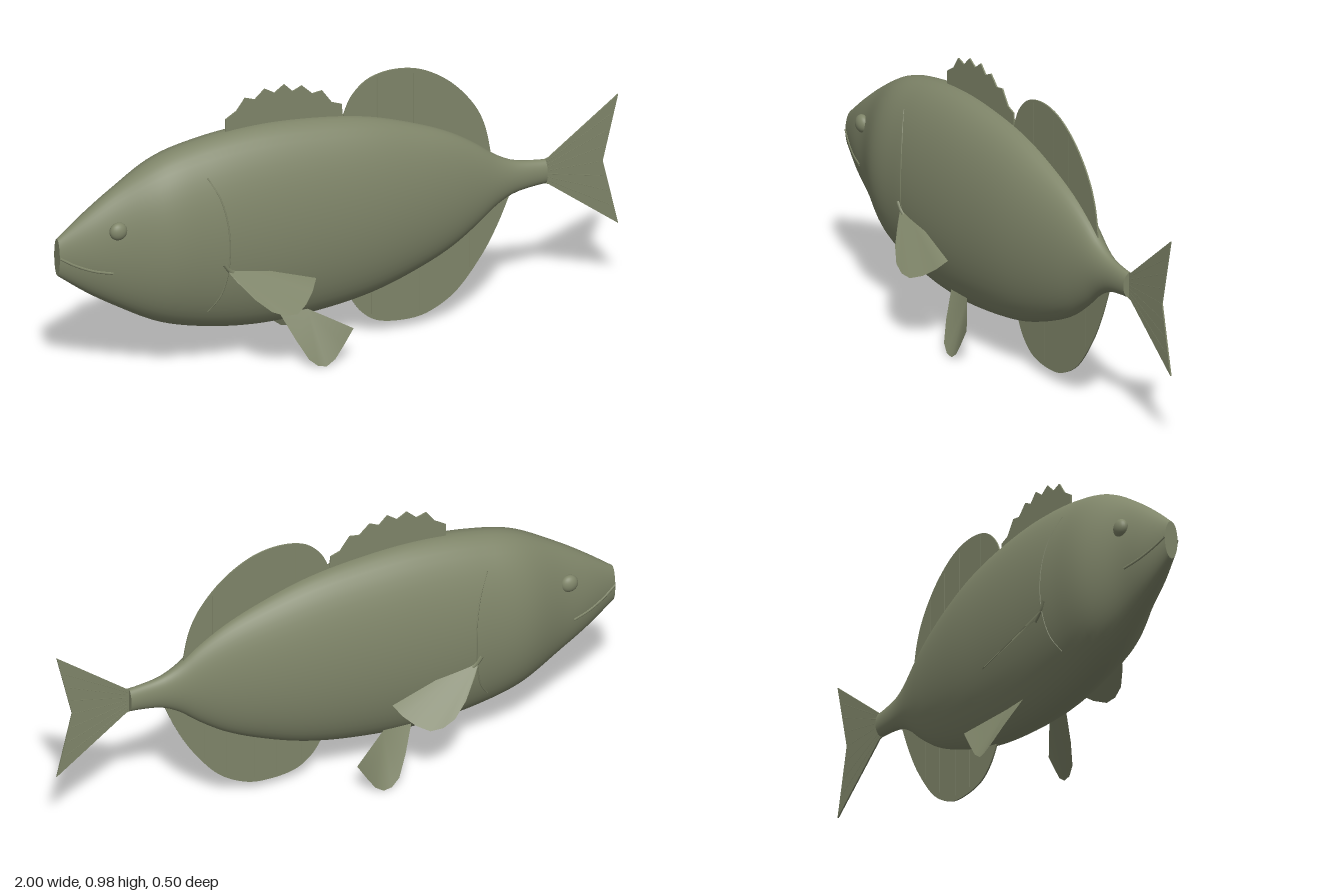
import * as THREE from 'three';

// Body stations: x, top y, bottom y, half width
const STATIONS = [
  [-1, 0.56, 0.425, 0.025], [-0.9, 0.638, 0.348, 0.06], [-0.8, 0.708, 0.283, 0.087],
  [-0.65, 0.793, 0.2, 0.143], [-0.5, 0.832, 0.155, 0.154], [-0.3, 0.852, 0.128, 0.155],
  [-0.1, 0.843, 0.135, 0.148], [0.1, 0.812, 0.165, 0.132], [0.25, 0.765, 0.212, 0.11],
  [0.4, 0.7, 0.28, 0.08], [0.5, 0.636, 0.35, 0.056], [0.56, 0.588, 0.4, 0.042],
  [0.62, 0.556, 0.432, 0.031], [0.7, 0.54, 0.447, 0.025], [0.74, 0.536, 0.45, 0.024],
];
const spline = new THREE.CubicInterpolant(
  STATIONS.map((s) => s[0]), STATIONS.flatMap((s) => s.slice(1)), 3);

function section(x) {
  const [top, bottom, width] = spline.evaluate(x);
  return { centre: (top + bottom) / 2, half: (top - bottom) / 2, width };
}

// Half width of the body at a point of its side
function sideZ(x, y) {
  const { centre, half, width } = section(x);
  return width * Math.sqrt(Math.max(0, 1 - ((y - centre) / half) ** 2));
}

function bodyGeometry(rings = 72, sides = 48) {
  const pos = [], index = [];
  for (let i = 0; i <= rings; i++) {
    const x = -1 + (1.74 * i) / rings;
    const { centre, half, width } = section(x);
    for (let j = 0; j < sides; j++) {
      const a = (j / sides) * Math.PI * 2;
      pos.push(x, centre + half * Math.cos(a), width * Math.sin(a));
      if (i === rings) continue;
      const p = i * sides + j, q = i * sides + ((j + 1) % sides);
      index.push(p, q, p + sides, q, q + sides, p + sides);
    }
  }
  const g = new THREE.BufferGeometry();
  g.setAttribute('position', new THREE.Float32BufferAttribute(pos, 3));
  g.setIndex(index);
  g.computeVertexNormals();
  return g;
}

// Thin upright fin on the centre plane
function flatFin(shape, depth = 0.005) {
  return new THREE.ExtrudeGeometry(shape, { depth, bevelEnabled: false, curveSegments: 24 })
    .translate(0, 0, -depth / 2);
}

// Thin fan from a root point to an outer edge
function fanFin(points, side) {
  const pos = points.flatMap(([x, y, z]) => [x, y, z * side]);
  const index = [];
  for (let i = 1; i < points.length - 1; i++) {
    index.push(...(side > 0 ? [0, i, i + 1] : [0, i + 1, i]));
  }
  const g = new THREE.BufferGeometry();
  g.setAttribute('position', new THREE.Float32BufferAttribute(pos, 3));
  g.setIndex(index);
  g.computeVertexNormals();
  return g;
}

function tube(points, radius) {
  const curve = new THREE.CatmullRomCurve3(points.map((p) => new THREE.Vector3(...p)));
  return new THREE.TubeGeometry(curve, 24, radius, 6);
}

export function createModel() {
  const fish = new THREE.Group();
  fish.name = 'fish';
  const skin = new THREE.MeshStandardMaterial({ color: 0x7f8569, side: THREE.DoubleSide });
  skin.name = 'olive skin';
  const add = (name, geometry) => {
    const mesh = new THREE.Mesh(geometry, skin);
    mesh.name = name;
    fish.add(mesh);
    return mesh;
  };
  const vec = (list) => list.map(([x, y]) => new THREE.Vector2(x, y));

  // Body with flat snout and tail root
  add('body', bodyGeometry());
  for (const [name, x, turn] of [['snoutEnd', -1, -1], ['tailRoot', 0.74, 1]]) {
    const { centre, half, width } = section(x);
    const cap = add(name, new THREE.CircleGeometry(1, 48));
    cap.scale.set(width, half, 1);
    cap.rotation.y = (turn * Math.PI) / 2;
    cap.position.set(x, centre, 0);
  }

  // Spiny front dorsal fin with a jagged edge
  add('spinyDorsalFin', flatFin(new THREE.Shape(vec([
    [-0.4, 0.8], [-0.4, 0.89], [-0.36, 0.915], [-0.33, 0.957], [-0.295, 0.945],
    [-0.26, 0.978], [-0.225, 0.957], [-0.19, 0.982], [-0.16, 0.951], [-0.127, 0.966],
    [-0.09, 0.93], [-0.055, 0.935], [-0.02, 0.885], [0.015, 0.872], [0.02, 0.78]]))));

  // Rounded rear dorsal fin
  const dorsal = new THREE.Shape(vec([[0.02, 0.75], [0.02, 0.83]]));
  dorsal.splineThru(vec([[0.05, 0.895], [0.11, 0.948], [0.2, 0.966], [0.3, 0.947],
    [0.4, 0.885], [0.48, 0.795], [0.525, 0.7], [0.55, 0.57]]));
  add('softDorsalFin', flatFin(dorsal));

  // Rounded anal fin
  const anal = new THREE.Shape(vec([[0.04, 0.24], [0.04, 0.165]]));
  anal.splineThru(vec([[0.08, 0.1], [0.14, 0.055], [0.23, 0.04], [0.32, 0.051],
    [0.42, 0.11], [0.51, 0.222], [0.57, 0.33], [0.62, 0.45]]));
  add('analFin', flatFin(anal));

  // Forked tail
  add('tailFin', flatFin(new THREE.Shape(vec([
    [0.73, 0.535], [0.75, 0.54], [1, 0.73], [0.945, 0.495], [1, 0.255], [0.75, 0.445], [0.73, 0.45]]))));

  // Faint fin rays
  const ray = (name, x1, y1, x2, y2) => add(name, tube([[x1, y1, 0], [x2, y2, 0]], 0.0032));
  for (const [x, top] of [[0.14, 0.95], [0.27, 0.94], [0.36, 0.9], [0.44, 0.83]]) {
    ray('dorsalRay', x, 0.66, x, top);
  }
  for (const [x, bottom] of [[0.12, 0.08], [0.21, 0.06], [0.29, 0.06], [0.39, 0.11], [0.47, 0.19]]) {
    ray('analRay', x, 0.36, x, bottom);
  }
  for (let i = -3; i <= 3; i++) {
    ray('tailRay', 0.745, 0.494 + i * 0.011, 0.94 + Math.abs(i) * 0.01, 0.494 + i * 0.055);
  }

  for (const side of [1, -1]) {
    const label = side > 0 ? 'left' : 'right';

    // Paired fins
    add(label + 'PectoralFin', fanFin([
      [-0.47, 0.435, 0.135], [-0.43, 0.378, 0.175], [-0.38, 0.32, 0.217], [-0.33, 0.278, 0.243],
      [-0.285, 0.259, 0.25], [-0.24, 0.256, 0.246], [-0.2, 0.272, 0.22],
      [-0.165, 0.3, 0.19], [-0.14, 0.332, 0.16], [-0.42, 0.39, 0.152]], side));
    add(label + 'PelvicFin', fanFin([
      [-0.14, 0.185, 0.085], [-0.24, 0.185, 0.085], [-0.2, 0.1, 0.13], [-0.165, 0.035, 0.16],
      [-0.135, 0.01, 0.168], [-0.105, 0.004, 0.168], [-0.075, 0.025, 0.168],
      [-0.045, 0.07, 0.168], [-0.01, 0.127, 0.168]], side));

    // Bulging eye
    const eye = add(label + 'Eye', new THREE.SphereGeometry(0.031, 24, 16));
    eye.scale.z = 0.7;
    eye.position.set(-0.812, 0.588, side * (sideZ(-0.812, 0.588) + 0.002));

    // Mouth line, gill cover edge and pectoral fin root, laid on the side
    const onSide = (list) => list.map(([x, y]) => [x, y, side * (sideZ(x, y) - 0.001)]);
    add(label + 'Mouth', tube(onSide([[-0.998, 0.497], [-0.95, 0.47], [-0.89, 0.447], [-0.83, 0.435]]), 0.005));
    add(label + 'GillEdge', tube(onSide([[-0.505, 0.74], [-0.47, 0.67], [-0.45, 0.58],
      [-0.445, 0.49], [-0.45, 0.4], [-0.47, 0.31], [-0.505, 0.25]]), 0.003));
    add(label + 'PectoralRoot', tube(onSide([[-0.465, 0.438], [-0.445, 0.41], [-0.41, 0.385]]), 0.008));
  }
  return fish;
}
